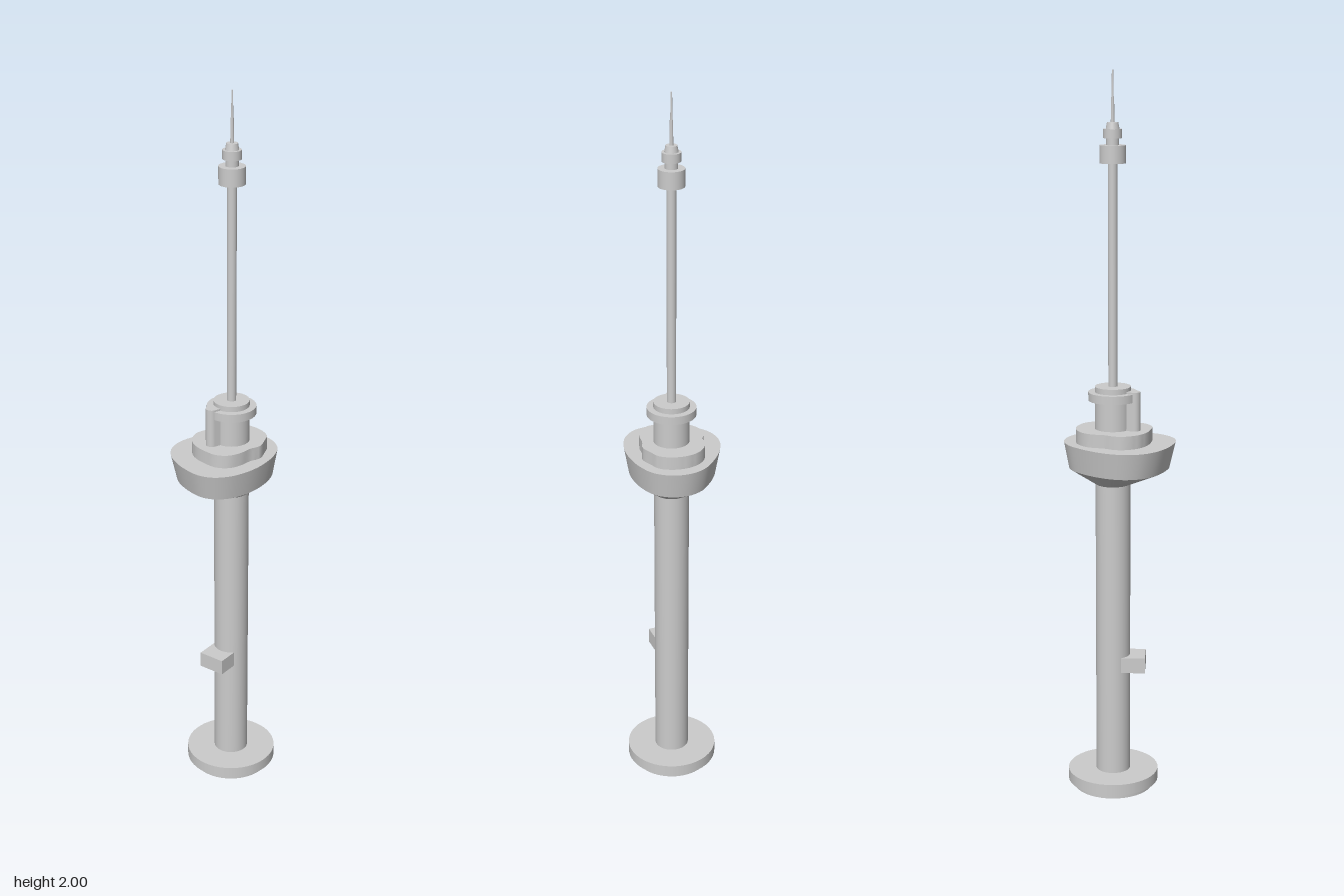
import * as THREE from 'three';
import { toCreasedNormals } from 'three/addons/utils/BufferGeometryUtils.js';

const AXIS = { x: 0.011, z: -0.02 };
const material = new THREE.MeshStandardMaterial({ color: 0xcccccc });
const SEGMENTS = 64;

function addMesh(parent, name, geometry) {
  const mesh = new THREE.Mesh(geometry, material);
  mesh.name = name;
  parent.add(mesh);
  return mesh;
}

// Upright cylinder or cone between two heights
function addDrum(parent, name, y0, y1, r0, r1 = r0, sides = 48) {
  const mesh = addMesh(parent, name, new THREE.CylinderGeometry(r1, r0, y1 - y0, sides));
  mesh.position.y = (y0 + y1) / 2;
  return mesh;
}

// Smooth closed outline in plan through [x, z] points, relative to the tower axis
function outline(points) {
  const curve = new THREE.CatmullRomCurve3(
    points.map(([x, z]) => new THREE.Vector3(x - AXIS.x, 0, z - AXIS.z)), true);
  return curve.getSpacedPoints(SEGMENTS).slice(0, SEGMENTS);
}

// Closed solid through stacked rings, listed from bottom to top
function loft(rings) {
  const n = SEGMENTS;
  const positions = [];
  const index = [];
  rings.forEach(({ y, ring }) => ring.forEach((p) => positions.push(p.x, y, p.z)));
  const bottom = rings.length * n;
  const top = bottom + 1;
  positions.push(0, rings[0].y, 0, 0, rings[rings.length - 1].y, 0);
  for (let i = 0; i < n; i++) {
    const j = (i + 1) % n;
    for (let k = 0; k < rings.length - 1; k++) {
      const a = k * n;
      const b = a + n;
      index.push(a + i, b + i, a + j, a + j, b + i, b + j);
    }
    const last = (rings.length - 1) * n;
    index.push(bottom, i, j, top, last + j, last + i);
  }
  const geometry = new THREE.BufferGeometry();
  geometry.setAttribute('position', new THREE.Float32BufferAttribute(positions, 3));
  geometry.setIndex(index);
  return toCreasedNormals(geometry, 0.5);
}

export function createModel() {
  const model = new THREE.Group();
  model.name = 'tower';
  const tower = new THREE.Group();
  tower.name = 'towerBody';
  tower.position.set(AXIS.x, 0, AXIS.z);
  model.add(tower);

  // Foundation and shaft
  addDrum(tower, 'plinth', 0, 0.016, 0.112);
  addDrum(tower, 'baseDisc', 0.016, 0.048, 0.127);
  addDrum(tower, 'shaft', 0.048, 0.9, 0.048);

  // Small cabin jutting from the front of the shaft
  const cabin = addMesh(tower, 'shaftCabin', new THREE.BoxGeometry(0.076, 0.044, 0.08));
  cabin.position.set(0.008 - AXIS.x, 0.371, 0.031 - AXIS.z);

  // Main pod: rounded irregular plan, flared wall, underside tapering to the shaft
  const podRing = outline([
    [0.01, -0.154], [0.062, -0.143], [0.1, -0.112], [0.12, -0.065], [0.127, -0.02],
    [0.126, 0.03], [0.115, 0.075], [0.096, 0.113], [0.064, 0.142], [0.024, 0.152],
    [-0.02, 0.144], [-0.062, 0.128], [-0.1, 0.104], [-0.129, 0.068], [-0.14, 0.024],
    [-0.133, -0.02], [-0.112, -0.062], [-0.08, -0.103], [-0.038, -0.14],
  ]);
  addMesh(tower, 'pod', loft([
    { y: 0.89, ring: podRing.map((p) => p.clone().setLength(0.048)) },
    { y: 0.935, ring: podRing.map((p) => p.clone().multiplyScalar(0.9)) },
    { y: 1.008, ring: podRing },
  ]));

  // Upper deck with a wavy plan
  const deckRing = outline([
    [0.01, -0.121], [0.046, -0.114], [0.076, -0.095], [0.087, -0.07], [0.099, -0.03],
    [0.088, 0], [0.083, 0.036], [0.067, 0.069], [0.037, 0.086], [0, 0.084],
    [-0.04, 0.073], [-0.067, 0.054], [-0.084, 0.027], [-0.089, 0.005], [-0.084, -0.018],
    [-0.072, -0.039], [-0.066, -0.071], [-0.052, -0.095], [-0.026, -0.114],
  ]);
  addMesh(tower, 'upperDeck', loft([
    { y: 1.0, ring: deckRing },
    { y: 1.045, ring: deckRing },
  ]));

  // Column head with a collar and a rounded service duct
  addDrum(tower, 'headColumn', 1.04, 1.162, 0.049);
  addDrum(tower, 'headCollar', 1.124, 1.147, 0.067);
  const duct = new THREE.Group();
  duct.name = 'serviceDuct';
  duct.rotation.y = Math.atan2(-0.023, 0.062);
  tower.add(duct);
  addDrum(duct, 'ductRound', 1.04, 1.152, 0.016, 0.016, 24).position.z = 0.064;
  const web = addMesh(duct, 'ductWeb', new THREE.BoxGeometry(0.032, 0.112, 0.034));
  web.position.set(0, 1.096, 0.047);

  // Mast, beacon and needle
  addDrum(tower, 'mast', 1.16, 1.77, 0.0125, 0.0125, 32);
  addDrum(tower, 'mastDrum', 1.76, 1.807, 0.035);
  addDrum(tower, 'beaconNeck', 1.807, 1.825, 0.017, 0.017, 32);
  addDrum(tower, 'beacon', 1.825, 1.849, 0.025, 0.025, 32);
  addDrum(tower, 'beaconCap', 1.849, 1.866, 0.018, 0.015, 32);
  addDrum(tower, 'needleBase', 1.866, 1.93, 0.005, 0.004, 16);
  addDrum(tower, 'needleTip', 1.93, 2, 0.003, 0.002, 16);

  return model;
}
